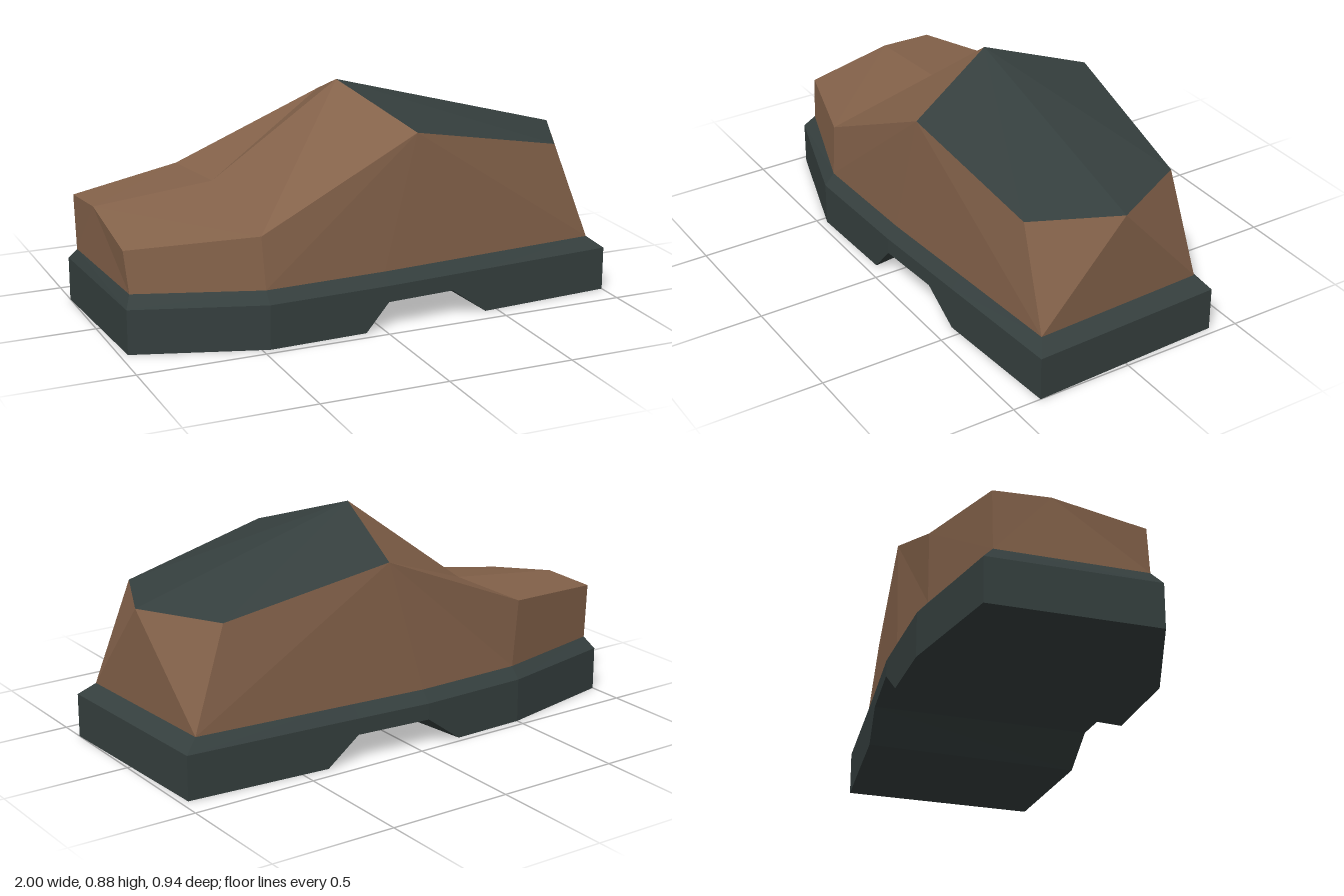
import * as THREE from 'three';

// Flat-shaded mesh from polygons (each a list of [x,y,z] corners, fanned into triangles)
function polyMesh(name, polys, material, centre) {
  const pos = [];
  for (const p of polys) {
    for (let i = 1; i < p.length - 1; i++) {
      const [a, b, c] = [p[0], p[i], p[i + 1]].map(q => new THREE.Vector3(...q));
      let flip = false;
      if (centre) { // turn each triangle outwards from the middle of the part
        const n = b.clone().sub(a).cross(c.clone().sub(a));
        flip = n.dot(a.clone().sub(centre)) < 0;
      }
      for (const v of flip ? [a, c, b] : [a, b, c]) pos.push(v.x, v.y, v.z);
    }
  }
  const g = new THREE.BufferGeometry();
  g.setAttribute('position', new THREE.Float32BufferAttribute(pos, 3));
  g.computeVertexNormals();
  const m = new THREE.Mesh(g, material);
  m.name = name;
  return m;
}

export function createModel() {
  const leather = new THREE.MeshStandardMaterial({ name: 'brownLeather', color: 0x84624a, flatShading: true });
  const rubber = new THREE.MeshStandardMaterial({ name: 'darkRubber', color: 0x353f3e, flatShading: true });
  const shoe = new THREE.Group();
  shoe.name = 'shoe';

  // Sole: sections from toe to heel
  // [front x, front z, back x, back z, bottom y, x inset of the bevel]
  const stations = [
    [-0.97, 0.305, -1.0, -0.355, 0, 0.025],
    [-0.47, 0.467, -0.5, -0.465, 0, 0],
    [-0.075, 0.455, -0.2, -0.472, 0, 0],
    [0.02, 0.452, -0.05, -0.475, 0.11, 0],
    [0.3, 0.433, 0.26, -0.45, 0.11, 0],
    [0.45, 0.423, 0.39, -0.44, 0, 0],
    [1.0, 0.385, 0.97, -0.398, 0, -0.06],
  ];
  const sections = stations.map(([fx, fz, bx, bz, y, dx]) => [
    [fx, y, fz], [fx, 0.175, fz], [fx + dx, 0.22, fz - 0.04],
    [bx + dx, 0.22, bz + 0.04], [bx, 0.175, bz], [bx, y, bz],
  ]);
  const soleFaces = [];
  for (let i = 0; i < sections.length - 1; i++) {
    const s = sections[i], t = sections[i + 1];
    for (let k = 0; k < 6; k++) {
      const n = (k + 1) % 6;
      soleFaces.push([s[k], t[k], t[n], s[n]]);
    }
  }
  const toe = sections[0], heel = sections[sections.length - 1];
  for (const q of [[0, 1, 4, 5], [1, 2, 3, 4]]) {
    soleFaces.push(q.map(k => toe[k]));
    soleFaces.push([...q].reverse().map(k => heel[k]));
  }
  shoe.add(polyMesh('sole', soleFaces, rubber));

  // Upper: its foot follows the bevelled edge of the sole
  const foot = i => ({ f: sections[i][2], b: sections[i][3] });
  const P = {
    toe: { f: [-0.96, 0.385, 0.25], b: [-0.98, 0.443, -0.32] },
    ball: { f: [-0.48, 0.425, 0.41], b: [-0.52, 0.49, -0.43] },
    ankle: { f: [0.16, 0.745, 0.393], b: [0.095, 0.745, -0.41] },
    rim: { f: [0.79, 0.615, 0.327], b: [0.77, 0.615, -0.333] },
    footToe: foot(0), footBall: foot(1), footMid: foot(3), footHeel: foot(6),
  };
  const toeRidge = [-0.965, 0.455, -0.1];
  const ballRidge = [-0.49, 0.505, -0.085];
  const peak = [0, 0.88, -0.005];
  const heelTop = [0.945, 0.615, -0.005];

  const upperFaces = [];
  for (const s of ['f', 'b']) {
    const p = k => P[k][s];
    upperFaces.push(
      [p('footToe'), p('footBall'), p('ball'), p('toe')],     // toe side
      [p('footBall'), p('footMid'), p('ankle'), p('ball')],   // middle side
      [p('footMid'), p('footHeel'), p('ankle')],              // heel side
      [p('footHeel'), p('rim'), p('ankle')],
      [p('footHeel'), heelTop, p('rim')],                     // heel corner
      [toeRidge, p('toe'), p('ball'), ballRidge],             // toe top
    );
  }
  upperFaces.push(
    [P.footHeel.f, P.footHeel.b, heelTop],                    // heel back
    [toeRidge, P.toe.f, P.footToe.f, P.footToe.b, P.toe.b],   // toe cap
    [ballRidge, P.ball.f, peak], [P.ball.f, P.ankle.f, peak], // instep
    [ballRidge, P.ankle.b, P.ball.b], [ballRidge, peak, P.ankle.b],
  );
  const centre = new THREE.Vector3(0, 0.3, 0);
  shoe.add(polyMesh('upper', upperFaces, leather, centre));

  // Ankle opening
  const opening = [peak, P.ankle.f, P.rim.f, heelTop, P.rim.b, P.ankle.b];
  shoe.add(polyMesh('ankleOpening', [opening], rubber, centre));

  return shoe;
}
